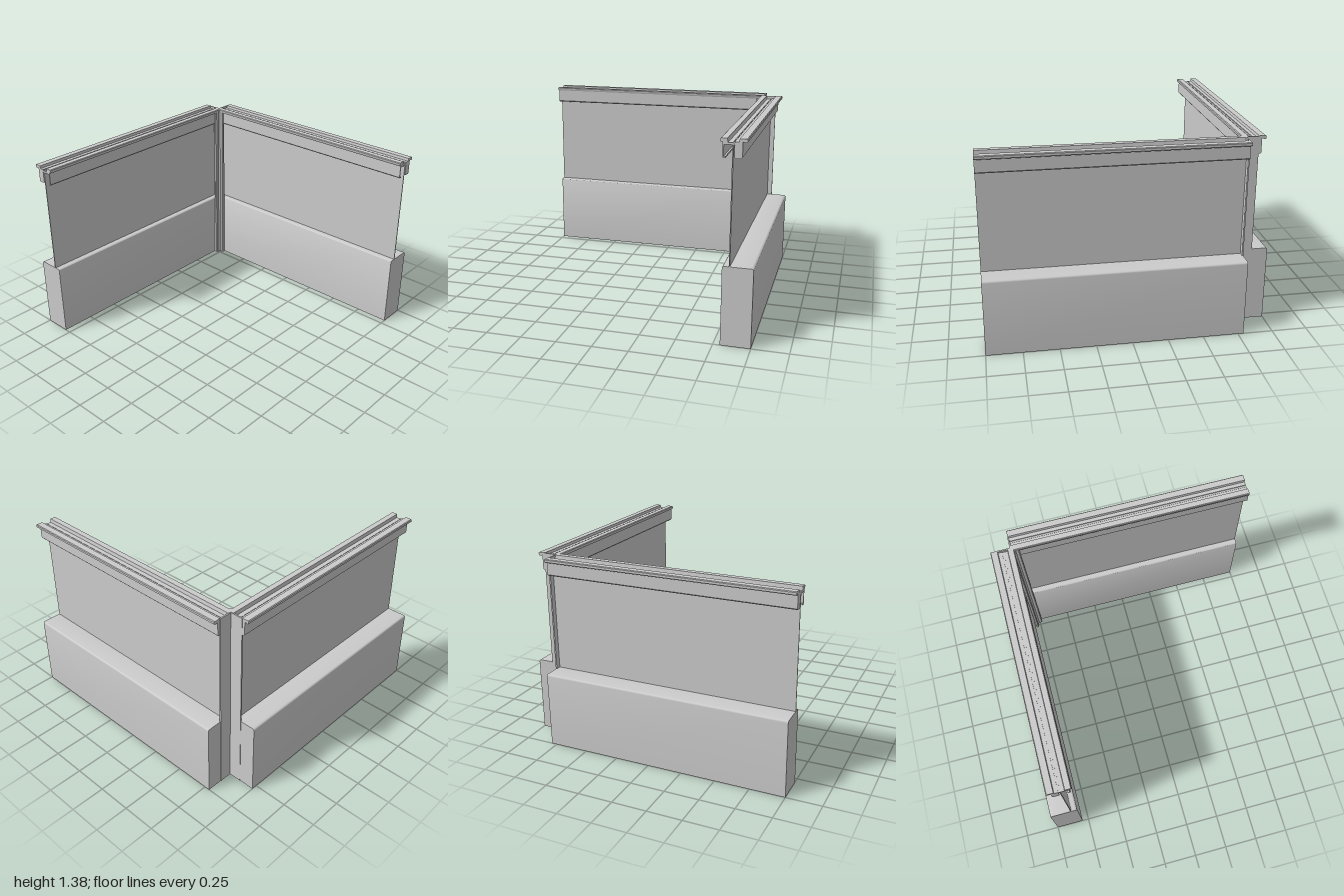
import * as THREE from 'three';
import { toCreasedNormals } from 'three/addons/utils/BufferGeometryUtils.js';

const START = -0.79, LENGTH = 1.79; // run of each wall, from the corner to the open end

const material = new THREE.MeshStandardMaterial({ color: 0xcccccc, side: THREE.DoubleSide });

function makeMesh(name, geometry) {
  const mesh = new THREE.Mesh(toCreasedNormals(geometry, 0.6), material);
  mesh.name = name;
  return mesh;
}

const polygon = (points) => new THREE.Shape(points.map(([x, y]) => new THREE.Vector2(x, y)));

// Rectangle whose two top corners are rounded, as a list of points
function roundedTop(x0, x1, y0, y1, r) {
  const points = [[x0, y0], [x1, y0]];
  for (const [cx, from] of [[x1 - r, 0], [x0 + r, Math.PI / 2]]) {
    for (let i = 0; i <= 4; i++) {
      const a = from + (i / 4) * Math.PI / 2;
      points.push([cx + r * Math.cos(a), y1 - r + r * Math.sin(a)]);
    }
  }
  return points;
}

// Cross-sections of one wall: distance across, height
const sections = {
  plinth: roundedTop(-1, -0.797, 0, 0.548, 0.014),
  panel: [[-0.848, 0.5], [-0.841, 0.5], [-0.841, 1.35], [-0.848, 1.35]],
  outerJaw: [[-0.905, 1.258], [-0.898, 1.25], [-0.862, 1.25], [-0.855, 1.258],
    [-0.855, 1.355], [-0.905, 1.355]],
  innerFascia: [[-0.8, 1.25], [-0.787, 1.25], [-0.78, 1.258], [-0.78, 1.36],
    [-0.788, 1.36], [-0.788, 1.26], [-0.8, 1.26]],
  railTop: [[-0.93, 1.35], [-0.905, 1.355], [-0.905, 1.335], [-0.785, 1.335],
    [-0.785, 1.355], [-0.768, 1.35], [-0.765, 1.355], [-0.765, 1.37], [-0.77, 1.375],
    [-0.81, 1.375], [-0.814, 1.348], [-0.881, 1.348], [-0.885, 1.375],
    [-0.93, 1.375], [-0.935, 1.37], [-0.935, 1.355]],
};

// One wall; the back wall mirrors the side wall across the corner diagonal
function makeWall(name, isBack) {
  const wall = new THREE.Group();
  wall.name = name;
  for (const [part, points] of Object.entries(sections)) {
    const shape = polygon(points.map(([d, y]) => [isBack ? -d : d, y]));
    const geometry = new THREE.ExtrudeGeometry(shape, { depth: LENGTH, bevelEnabled: false });
    geometry.translate(0, 0, START);
    if (isBack) geometry.rotateY(Math.PI / 2);
    wall.add(makeMesh(part, geometry));
  }
  return wall;
}

// Corner post: end plates and inner flanges, symmetric about the diagonal
function makePost() {
  const half = [[-0.793, -0.793], [-0.793, -0.885], [-0.783, -0.885], [-0.783, -0.79],
    [-0.73, -0.79], [-0.73, -0.775], [-0.737, -0.768], [-0.757, -0.768]];
  const other = half.slice(1).reverse().map(([x, z]) => [z, x]);
  const shape = polygon([...half, ...other].map(([x, z]) => [x, -z]));
  const geometry = new THREE.ExtrudeGeometry(shape, { depth: 1.373, bevelEnabled: false });
  geometry.rotateX(-Math.PI / 2);
  return makeMesh('cornerPost', geometry);
}

export function createModel() {
  const model = new THREE.Group();
  model.name = 'cornerBarrier';
  model.add(makeWall('sideWall', false), makeWall('backWall', true), makePost());
  return model;
}
